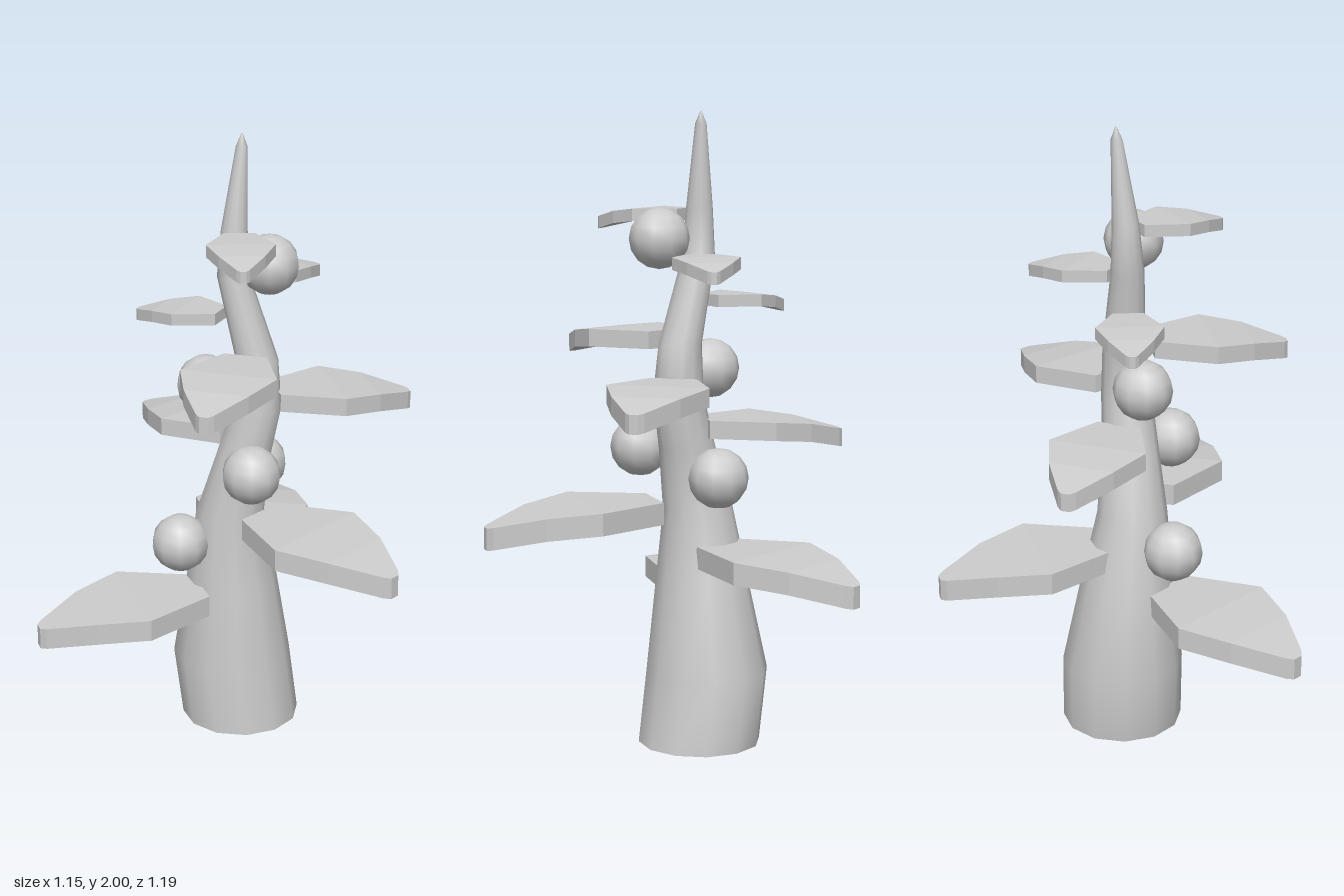
import * as THREE from 'three';
import { mergeVertices } from 'three/addons/utils/BufferGeometryUtils.js';

const material = new THREE.MeshStandardMaterial({ color: 0xcccccc });
const leafMaterial = new THREE.MeshStandardMaterial({ color: 0xcccccc, flatShading: true });
const stemMaterial = new THREE.MeshStandardMaterial({ color: 0xcccccc, side: THREE.DoubleSide });

// Stem rings from the ground up: x, y, z, radius
const RINGS = [
  [-0.11, 0, -0.105, 0.195],
  [-0.137, 0.23, -0.088, 0.195],
  [-0.122, 0.51, -0.077, 0.15],
  [-0.11, 0.75, -0.063, 0.112],
  [-0.072, 0.95, -0.088, 0.09],
  [-0.04, 1.12, -0.118, 0.08],
  [-0.045, 1.28, -0.122, 0.068],
  [-0.108, 1.55, -0.075, 0.052],
  [-0.11, 1.7, -0.08, 0.042],
  [-0.11, 1.96, -0.108, 0.018],
  [-0.11, 2, -0.11, 0.002],
];

// Leaves: base x, base z, top y, tip x, tip z
const LEAVES = [
  [-0.105, 0.06, 0.51, -0.265, 0.588],
  [-0.153, -0.134, 0.65, -0.53, -0.532],
  [0.03, -0.08, 0.787, 0.57, -0.197],
  [-0.125, -0.10, 1.045, -0.572, -0.048],
  [-0.02, -0.175, 1.18, 0.15, -0.597],
  [-0.006, -0.047, 1.318, 0.258, 0.303],
  [-0.146, -0.054, 1.43, -0.403, 0.093],
  [-0.11, -0.12, 1.56, -0.11, -0.418],
  [-0.064, -0.065, 1.7, 0.186, 0.103],
];

// Berries: centre
const BERRIES = [
  [-0.155, 0.66, 0.105],
  [-0.155, 0.87, -0.21],
  [0.07, 0.945, -0.015],
  [-0.155, 1.19, 0],
  [0.02, 1.61, -0.12],
];

// Open tapering tube that sways from ring to ring
function createStem() {
  const last = RINGS.length - 1;
  let geometry = new THREE.CylinderGeometry(1, 1, 1, 12, last, true);
  const p = geometry.attributes.position;
  for (let i = 0; i < p.count; i++) {
    const [x, y, z, r] = RINGS[Math.round((p.getY(i) + 0.5) * last)];
    p.setXYZ(i, x + p.getX(i) * r, y, z + p.getZ(i) * r);
  }
  geometry.deleteAttribute('uv');
  geometry.deleteAttribute('normal');
  geometry = mergeVertices(geometry);
  geometry.computeVertexNormals();
  return new THREE.Mesh(geometry, stemMaterial);
}

// Thick unit leaf along +z, widest near the middle and drooping at the tip
function createLeafGeometry() {
  const along = [0, 0.42, 0.71, 0.97, 1];
  const halfWidth = [0.16, 0.355, 0.235, 0.065, 0.03];
  const drop = [0, 0, 0.035, 0.1, 0.108];
  const geometry = new THREE.BoxGeometry(2, 1, 1, 1, 1, 4);
  const p = geometry.attributes.position;
  for (let i = 0; i < p.count; i++) {
    const k = Math.round((p.getZ(i) + 0.5) * 4);
    const y = (p.getY(i) - 0.5) * 0.127 - drop[k];
    p.setXYZ(i, p.getX(i) * halfWidth[k], y, along[k]);
  }
  geometry.computeVertexNormals();
  return geometry;
}

export function createModel() {
  const model = new THREE.Group();
  model.name = 'berryPlant';

  const stem = createStem();
  stem.name = 'stem';
  model.add(stem);

  const leafGeometry = createLeafGeometry();
  LEAVES.forEach(([x, z, y, tipX, tipZ], i) => {
    const leaf = new THREE.Mesh(leafGeometry, leafMaterial);
    leaf.name = `leaf${i + 1}`;
    leaf.position.set(x, y, z);
    leaf.rotation.y = Math.atan2(tipX - x, tipZ - z);
    leaf.scale.setScalar(Math.hypot(tipX - x, tipZ - z));
    model.add(leaf);
  });

  const berryGeometry = new THREE.SphereGeometry(0.095, 10, 8);
  BERRIES.forEach((centre, i) => {
    const berry = new THREE.Mesh(berryGeometry, material);
    berry.name = `berry${i + 1}`;
    berry.position.set(...centre);
    model.add(berry);
  });

  return model;
}
